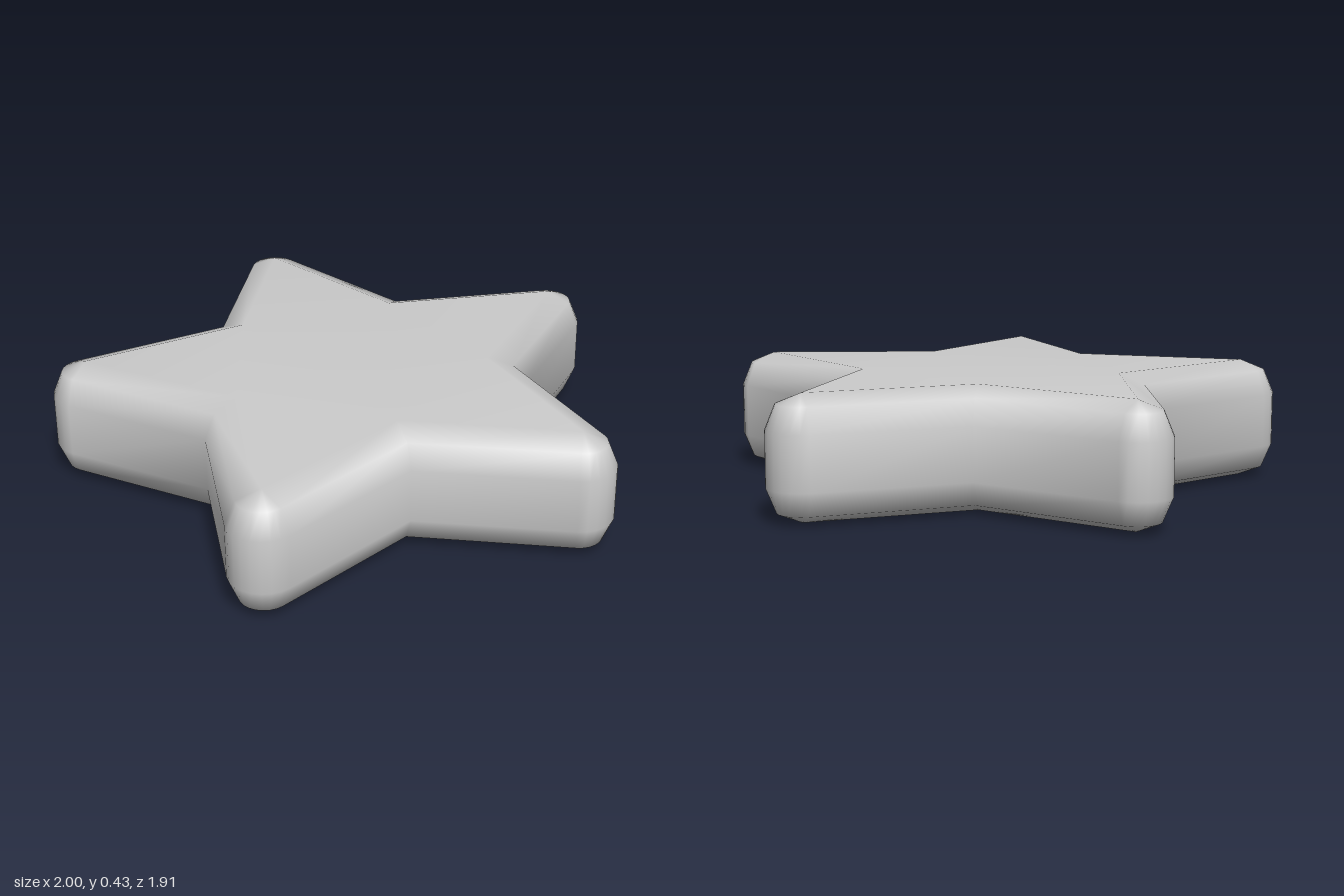
import * as THREE from 'three';
import { mergeVertices } from 'three/addons/utils/BufferGeometryUtils.js';

const CENTRE_Z = 0.088;
const TIP = 0.925;     // distance of the tip arc centres
const VALLEY = 0.476;  // distance of the inner corners before the bevel
const ARC = 8;         // segments round each tip

// Bevel profile from bottom to top: [outward offset, height]
const PROFILE = [[0, 0], [0.085, 0.035], [0.12, 0.12], [0.12, 0.31], [0.085, 0.395], [0, 0.43]];

// Star outline grown by an offset: round at the tips, sharp in the valleys
function starRing(offset) {
  const a36 = Math.PI / 5;
  const edgeX = VALLEY * Math.sin(a36), edgeY = TIP - VALLEY * Math.cos(a36);
  const normal = Math.atan2(edgeY, edgeX);
  const valley = VALLEY + offset / Math.cos(normal - a36);
  const points = [];
  for (let k = 0; k < 5; k++) {
    const a = k * 2 * a36;
    for (let i = 0; i <= ARC; i++) {
      const b = a + normal * (2 * i / ARC - 1);
      points.push(new THREE.Vector2(
        TIP * Math.sin(a) + offset * Math.sin(b),
        CENTRE_Z - TIP * Math.cos(a) - offset * Math.cos(b)));
    }
    points.push(new THREE.Vector2(valley * Math.sin(a + a36), CENTRE_Z - valley * Math.cos(a + a36)));
  }
  return points;
}

function starGeometry() {
  const rings = PROFILE.map(([offset]) => starRing(offset));
  const n = rings[0].length;
  const positions = [], index = [];
  rings.forEach((ring, r) => ring.forEach(p => positions.push(p.x, PROFILE[r][1], p.y)));

  // Side wall and bevels
  for (let r = 0; r < rings.length - 1; r++) {
    for (let i = 0; i < n; i++) {
      const j = (i + 1) % n, low = r * n, up = low + n;
      index.push(low + j, low + i, up + i, low + j, up + i, up + j);
    }
  }

  // Flat top and bottom: one corner per tip and per valley
  const corners = [];
  for (let k = 0; k < 5; k++) corners.push(k * (ARC + 2), k * (ARC + 2) + ARC + 1);
  const outline = corners.map(c => rings[0][c]);
  const top = (rings.length - 1) * n;
  for (const face of THREE.ShapeUtils.triangulateShape(outline, [])) {
    const [p, q, s] = face.map(f => outline[f]);
    const cross = (q.x - p.x) * (s.y - p.y) - (q.y - p.y) * (s.x - p.x);
    const [a, b, c] = (cross < 0 ? face : [face[0], face[2], face[1]]).map(f => corners[f]);
    index.push(top + a, top + b, top + c, a, c, b);
  }

  let geometry = new THREE.BufferGeometry();
  geometry.setAttribute('position', new THREE.Float32BufferAttribute(positions, 3));
  geometry.setIndex(index);
  geometry = mergeVertices(geometry, 1e-5);

  // Drop the triangles that collapse at the sharp cap corners
  const merged = geometry.index.array, kept = [];
  for (let i = 0; i < merged.length; i += 3) {
    const [a, b, c] = [merged[i], merged[i + 1], merged[i + 2]];
    if (a !== b && b !== c && c !== a) kept.push(a, b, c);
  }
  geometry.setIndex(kept);
  geometry.computeVertexNormals();
  return geometry;
}

export function createModel() {
  const group = new THREE.Group();
  group.name = 'star';
  const body = new THREE.Mesh(starGeometry(), new THREE.MeshStandardMaterial({ color: 0xcccccc }));
  body.name = 'starBody';
  group.add(body);
  return group;
}
